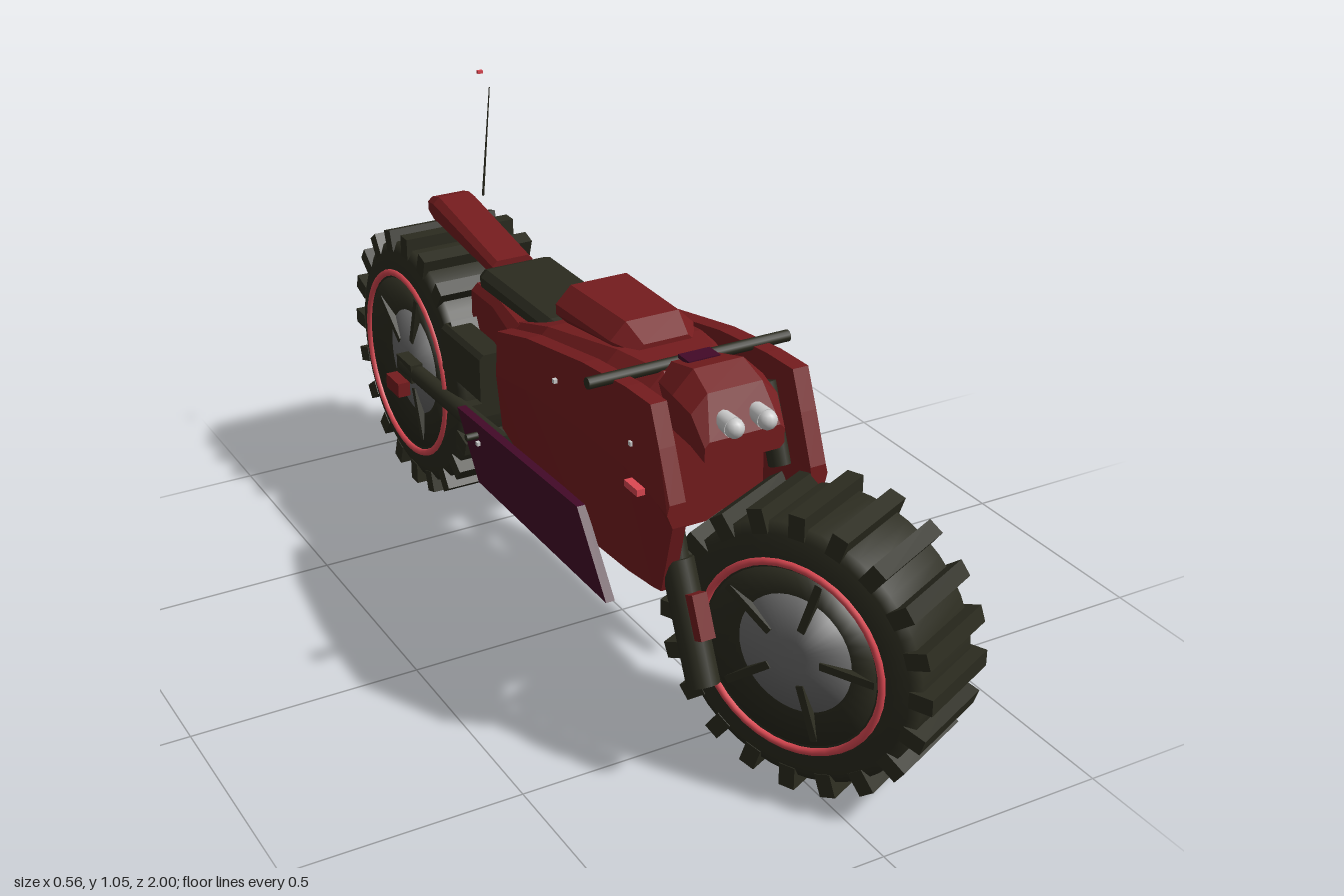
import * as THREE from 'three';

const mat = (name, color) => Object.assign(new THREE.MeshStandardMaterial({ color }), { name });
const red = mat('bodyRed', 0x751c1e), dark = mat('darkOlive', 0x2b2b1f), purple = mat('purple', 0x430a28),
  bright = mat('rimRed', 0xdc4852), silver = mat('silver', 0xcccccc), grey = mat('hubGrey', 0x6c6c6c);

export function createModel() {
  const bike = new THREE.Group();
  bike.name = 'motorbike';
  const frame = new THREE.Group(); // symmetric parts sit about the bike's centre plane
  frame.name = 'frame';
  frame.position.x = -0.055;
  bike.add(frame);

  const add = (name, geo, m, pos = [0, 0, 0], parent = frame) => {
    const mesh = new THREE.Mesh(geo, m);
    mesh.name = name;
    mesh.position.set(...pos);
    parent.add(mesh);
    return mesh;
  };
  const box = (name, m, size, pos, parent) => add(name, new THREE.BoxGeometry(...size), m, pos, parent);
  // Tapered rod between two points
  const rod = (name, m, a, b, r0, r1 = r0, sides = 12) => {
    const A = new THREE.Vector3(...a), d = new THREE.Vector3(...b).sub(A);
    const mesh = add(name, new THREE.CylinderGeometry(r1, r0, d.length(), sides), m);
    mesh.position.copy(A).addScaledVector(d, 0.5);
    mesh.quaternion.setFromUnitVectors(new THREE.Vector3(0, 1, 0), d.normalize());
    return mesh;
  };
  // Solid through cross-sections [z, [[x, y], ...]], z rising, corners anticlockwise from the front
  const loft = (rings) => {
    const n = rings[0][1].length, pos = [], idx = [];
    rings.forEach(([z, pts]) => pts.forEach(([x, y]) => pos.push(x, y, z)));
    for (let i = 0; i < rings.length - 1; i++) for (let j = 0; j < n; j++) {
      const a = i * n + j, b = i * n + (j + 1) % n;
      idx.push(a, b, b + n, a, b + n, a + n);
    }
    const e = (rings.length - 1) * n;
    for (let j = 1; j < n - 1; j++) idx.push(0, j + 1, j, e, e + j, e + j + 1);
    const g = new THREE.BufferGeometry();
    g.setAttribute('position', new THREE.Float32BufferAttribute(pos, 3));
    g.setIndex(idx);
    const flat = g.toNonIndexed();
    flat.computeVertexNormals();
    return flat;
  };
  // Chamfered section: half width, bottom, top, chamfer
  const section = ([z, w, y0, y1, c = 0.03]) => [z, [
    [w - c, y0], [w, y0 + c], [w, y1 - c], [w - c, y1], [c - w, y1], [-w, y1 - c], [-w, y0 + c], [c - w, y0]]];
  const hull = (name, m, rows) => add(name, loft(rows.map(section)), m);

  // Wheels: tyre, lugs, shallow dish with domed hub, proud rim rings and spokes, axle along x
  const makeWheel = (name, R, W, ring, lugs) => {
    const wheel = new THREE.Group();
    wheel.name = name;
    const lathe = (part, pts, m) => {
      const g = new THREE.LatheGeometry(pts.map(([r, x]) => new THREE.Vector2(r, x)), 40);
      g.rotateZ(-Math.PI / 2);
      return add(part, g, m, [0, 0, 0], wheel);
    };
    const D = W - 0.018; // dish floor
    lathe('tyre', [[ring - 0.012, -W], [ring + 0.012, -W - 0.003], [R - 0.048, -W + 0.006], [R - 0.027, -W + 0.018],
      [R - 0.027, W - 0.018], [R - 0.048, W - 0.006], [ring + 0.012, W + 0.003], [ring - 0.012, W]], dark);
    lathe('rimDish', [[0, -D], [0.12, -D], [ring - 0.012, -W], [ring - 0.012, W], [0.12, D], [0, D]], dark);
    lathe('hub', [[0, -D - 0.02], [0.035, -D - 0.018], [0.125, -D - 0.002], [0.125, D + 0.002], [0.035, D + 0.018], [0, D + 0.02]], grey);
    const lugGeo = new THREE.BoxGeometry(2 * W - 0.008, 0.05, 0.035);
    for (let i = 0; i < lugs; i++) {
      const a = i / lugs * Math.PI * 2;
      const lug = add('treadLug', lugGeo, dark, [0, Math.cos(a) * (R - 0.025), Math.sin(a) * (R - 0.025)], wheel);
      lug.rotation.x = a;
    }
    for (const s of [-1, 1]) {
      const t = add('rimRing', new THREE.TorusGeometry(ring, 0.008, 8, 40), bright, [s * (W + 0.002), 0, 0], wheel);
      t.rotation.y = Math.PI / 2;
      for (let i = 0; i < 5; i++) {
        const a = i / 5 * Math.PI * 2 + 0.3;
        const sp = box('spoke', dark, [0.02, 0.125, 0.016],
          [s * (D + 0.006), Math.cos(a) * 0.125, Math.sin(a) * 0.125], wheel);
        sp.rotation.x = a;
      }
    }
    bike.add(wheel);
    return wheel;
  };
  const front = makeWheel('frontWheel', 0.302, 0.11, 0.2, 20);
  front.position.set(0.055, 0.305, 0.685);
  front.rotation.y = THREE.MathUtils.degToRad(25);
  const rear = makeWheel('rearWheel', 0.315, 0.14, 0.217, 20);
  rear.position.set(-0.058, 0.375, -0.682);
  // Bright disc on the left of the rear hub
  const disc = new THREE.CylinderGeometry(0.093, 0.093, 0.012, 20);
  disc.rotateZ(Math.PI / 2);
  add('rearDisc', disc, silver, [0.138, 0, 0], rear);

  // Main body, tank, nose, seat and tail
  hull('body', red, [[-0.17, 0.13, 0.45, 0.67], [0, 0.148, 0.41, 0.73], [0.25, 0.125, 0.4, 0.775],
    [0.38, 0.112, 0.43, 0.775, 0.045], [0.47, 0.108, 0.48, 0.72, 0.04]]);
  hull('subframe', red, [[-0.47, 0.07, 0.55, 0.64, 0.015], [-0.32, 0.09, 0.5, 0.66, 0.015], [-0.16, 0.125, 0.45, 0.67, 0.02]]);
  hull('tank', red, [[-0.03, 0.075, 0.72, 0.775, 0.02], [0.0, 0.1, 0.72, 0.812, 0.035],
    [0.22, 0.095, 0.74, 0.815, 0.035], [0.275, 0.065, 0.75, 0.785, 0.015]]);
  hull('nose', red, [[0.36, 0.075, 0.67, 0.785], [0.47, 0.1, 0.655, 0.815, 0.045], [0.53, 0.095, 0.655, 0.79, 0.035],
    [0.57, 0.088, 0.66, 0.71, 0.01]]);
  box('dashPlate', purple, [0.07, 0.008, 0.04], [0, 0.8, 0.4]);
  hull('seat', dark, [[-0.39, 0.085, 0.665, 0.705, 0.012], [-0.37, 0.092, 0.66, 0.712, 0.015],
    [-0.07, 0.092, 0.665, 0.712, 0.015], [-0.045, 0.08, 0.67, 0.705, 0.012]]);
  hull('tail', red, [[-0.735, 0.05, 0.715, 0.755, 0.01], [-0.7, 0.053, 0.7, 0.765, 0.015], [-0.4, 0.05, 0.67, 0.714, 0.012]]);
  box('tailLight', bright, [0.03, 0.018, 0.02], [0, 0.733, -0.738]);
  rod('antenna', dark, [0.067, 0.755, -0.685], [0.067, 1.03, -0.635], 0.003, 0.0012, 5);
  box('antennaTip', bright, [0.012, 0.007, 0.008], [0.068, 1.052, -0.685]);

  // Engine under the body, with one ring on its left
  hull('engine', dark, [[-0.22, 0.07, 0.34, 0.5], [-0.1, 0.09, 0.3, 0.5], [0.16, 0.09, 0.31, 0.5], [0.3, 0.06, 0.38, 0.5]]);
  add('engineRing', new THREE.TorusGeometry(0.055, 0.008, 6, 24), bright, [0.092, 0.33, 0]).rotation.y = Math.PI / 2;

  rod('handlebar', dark, [-0.225, 0.78, 0.365], [0.225, 0.78, 0.365], 0.012);

  // Parts on both sides
  for (const s of [-1, 1]) {
    // Creased side fairing: z, bottom, crease, top, inset
    const rows = [[-0.17, 0.43, 0.56, 0.66, 0.02], [0, 0.4, 0.6, 0.715, 0.005], [0.25, 0.375, 0.62, 0.765, 0],
      [0.42, 0.385, 0.62, 0.785, 0], [0.515, 0.398, 0.61, 0.788, 0], [0.548, 0.405, 0.6, 0.71, 0], [0.588, 0.56, 0.59, 0.61, 0]];
    const fairing = rows.map(([z, b, m, t, d]) => {
      const pts = [[0.166, b], [0.178, m], [0.173, t], [0.138, t], [0.14, m], [0.137, b]].map(([x, y]) => [s * (x - d), y]);
      return [z, s > 0 ? pts : pts.reverse()];
    });
    add('sideFairing', loft(fairing), red);

    // Lower purple skirt
    const shape = new THREE.Shape([[0.37, 0.29], [0.25, 0.45], [-0.31, 0.43], [-0.21, 0.29]].map(([z, y]) => new THREE.Vector2(-z, y)));
    const skirt = new THREE.ExtrudeGeometry(shape, { depth: 0.02, bevelEnabled: false });
    skirt.rotateY(Math.PI / 2);
    add('lowerSkirt', skirt, purple, [s > 0 ? 0.168 : -0.188, 0, 0]);

    hull('sideBox', dark, [[-0.47, 0.03, 0.45, 0.55, 0.01], [-0.455, 0.036, 0.445, 0.565, 0.01], [-0.26, 0.036, 0.445, 0.565, 0.01]])
      .position.x = s * 0.118;

    // Swingarm
    rod('swingarm', dark, [s * 0.13, 0.37, -0.2], [s * 0.158, 0.385, -0.66], 0.024, 0.02);
    box('axleBlock', dark, [0.03, 0.045, 0.08], [s * 0.158, 0.385, -0.635]);
    rod('chainLine', dark, [s * 0.08, 0.32, -0.15], [s * 0.08, 0.3, -0.42], 0.004, 0.004, 5);
    rod('footPeg', dark, [s * 0.17, 0.405, -0.21], [s * 0.215, 0.405, -0.21], 0.008);

    // Upper fork tube, cut short on the left where the wheel turns
    rod('forkTube', dark, s > 0 ? [0.128, 0.58, 0.5] : [-0.13, 0.42, 0.56], [s * 0.125, 0.735, 0.44], 0.024);

    // Twin headlights
    rod('headlightRim', silver, [s * 0.036, 0.74, 0.54], [s * 0.036, 0.738, 0.585], 0.018, 0.021);
    add('headlightLens', new THREE.SphereGeometry(0.02, 12, 8), silver, [s * 0.036, 0.738, 0.588]);

    // Turn signals and fairing bolts
    box('turnSignal', s > 0 ? silver : bright, [0.02, 0.014, 0.05], [s * 0.185, 0.603, 0.48]);
    for (const [y, z] of [[0.68, 0.45], [0.68, 0.14], [0.39, -0.2]])
      box('bolt', silver, [0.01, 0.009, 0.009], [s * (y < 0.5 ? 0.19 : 0.176), y, z]);
  }

  // Single lower fork leg and brake calipers on the model's right
  rod('forkSleeve', dark, [-0.13, 0.24, 0.65], [-0.13, 0.465, 0.545], 0.033);
  box('frontCaliper', red, [0.032, 0.09, 0.04], [-0.128, 0.38, 0.625]).rotation.x = -0.42;
  box('rearCaliper', red, [0.03, 0.035, 0.07], [-0.158, 0.31, -0.71]);
  return bike;
}
